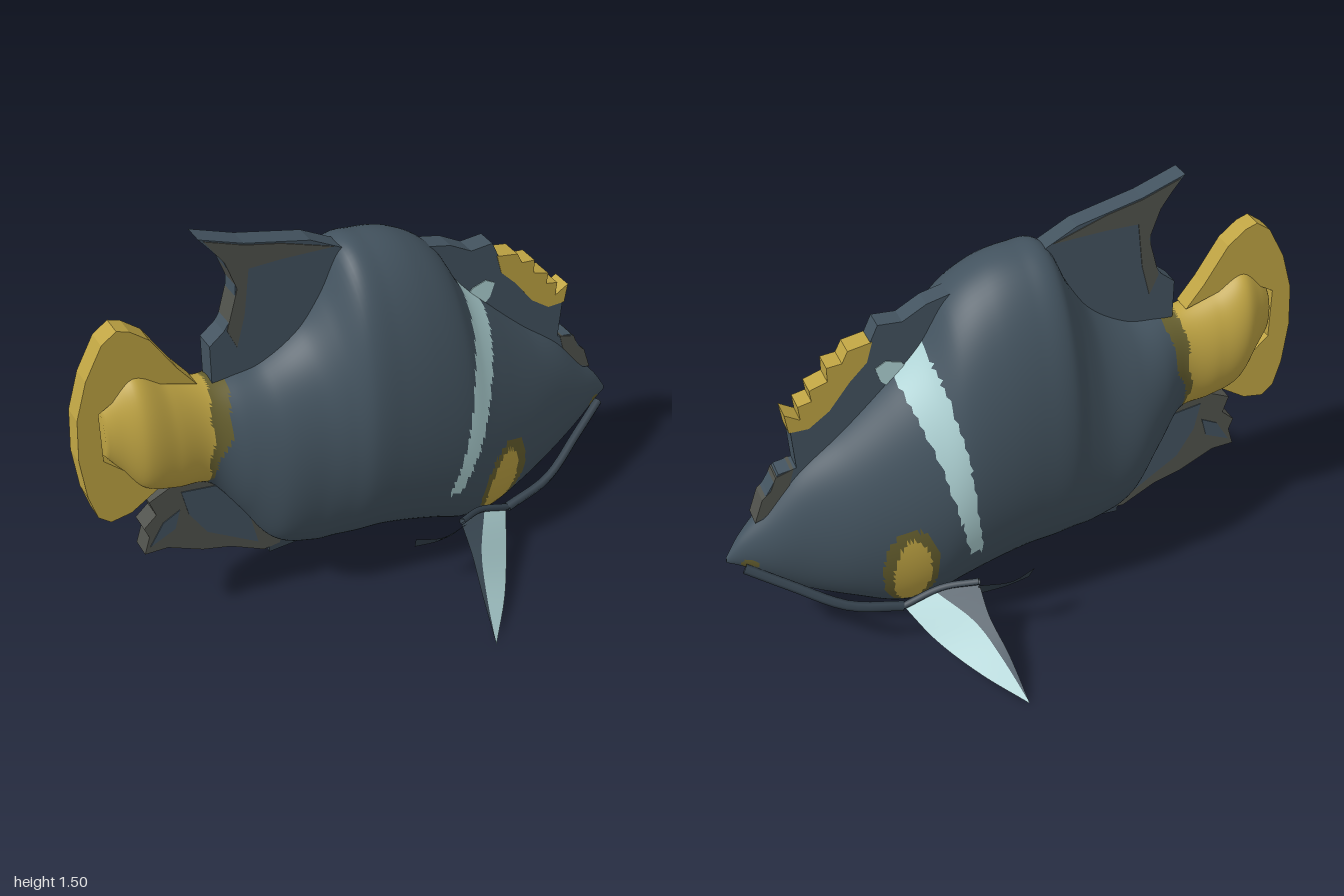
import * as THREE from 'three';

const paint = (name, color) => {
  const m = new THREE.MeshStandardMaterial({ color, side: THREE.DoubleSide });
  m.name = name;
  return m;
};
const slate = paint('slate', 0x43535f);
const darkSlate = paint('dark slate', 0x35424d);
const yellow = paint('yellow', 0xbfa443);
const pale = paint('pale blue', 0xafd3d5);
const olive = paint('olive', 0x67602f);
const grey = paint('grey olive', 0x50524c);

const FIN = 0.07; // thickness of the upright fins

// Body stations: x, top, bottom, half width
const stations = [
  [-0.912, 1.0, 0.82, 0.045], [-0.87, 1.05, 0.76, 0.075], [-0.8, 1.1, 0.66, 0.12],
  [-0.7, 1.04, 0.62, 0.12], [-0.58, 0.995, 0.59, 0.118], [-0.48, 0.995, 0.45, 0.175],
  [-0.38, 1.01, 0.29, 0.22], [-0.25, 1.09, 0.225, 0.24], [-0.17, 1.2, 0.215, 0.262],
  [-0.1, 1.335, 0.205, 0.288], [0, 1.345, 0.195, 0.295], [0.12, 1.315, 0.165, 0.297],
  [0.24, 1.23, 0.125, 0.29], [0.33, 1.085, 0.09, 0.272], [0.45, 0.96, 0.085, 0.24],
  [0.6, 0.82, 0.145, 0.19], [0.75, 0.7, 0.215, 0.125], [0.86, 0.575, 0.29, 0.08],
  [0.95, 0.475, 0.355, 0.035], [1, 0.4, 0.38, 0.005],
];

// Smooth value of one station column at x
function sample(x, k) {
  let i = 0;
  while (i < stations.length - 2 && x > stations[i + 1][0]) i++;
  const slope = (n) => {
    const a = stations[Math.max(n - 1, 0)], b = stations[Math.min(n + 1, stations.length - 1)];
    return (b[k] - a[k]) / (b[0] - a[0]);
  };
  const p = stations[i], q = stations[i + 1], d = q[0] - p[0];
  const t = (x - p[0]) / d, t2 = t * t, t3 = t2 * t;
  return (2 * t3 - 3 * t2 + 1) * p[k] + (t3 - 2 * t2 + t) * d * slope(i)
    + (3 * t2 - 2 * t3) * q[k] + (t3 - t2) * d * slope(i + 1);
}

function inside(x, y, poly) {
  let hit = false;
  poly.forEach(([ax, ay], i) => {
    const [bx, by] = poly[(i + 1) % poly.length];
    if ((ay > y) !== (by > y) && x < ((bx - ax) * (y - ay)) / (by - ay) + ax) hit = !hit;
  });
  return hit;
}

const stripe = [[0.33, 1.12], [0.43, 1.02], [0.4, 0.94], [0.35, 0.8], [0.3, 0.6], [0.245, 0.38],
  [0.2, 0.37], [0.235, 0.6], [0.26, 0.82], [0.3, 1.0]];
const oval = (x, y, cx, cy, rx, ry) => ((x - cx) / rx) ** 2 + ((y - cy) / ry) ** 2 < 1;

// Index of the body colour at a point seen from the side
const bodyColours = [slate, yellow, pale, olive];
function bodyColour(x, y) {
  const edge = -0.6 + 0.1 * Math.max(0, y - 0.72) + 0.006 * Math.sin(y * 40);
  if (x < edge) return 1;
  if (x < edge + 0.06 * Math.min(1, Math.max(0, (y - 0.62) * 4))) return 3;
  if (inside(x, y, stripe)) return 2;
  if (oval(x, y, 0.435, 0.32, 0.06, 0.165)) return 1;
  if (oval(x, y, 0.44, 0.34, 0.09, 0.19)) return 3;
  if (oval(x, y, 0.93, 0.38, 0.025, 0.025)) return 3;
  return 0;
}

// Body lofted from oval rings, its faces sorted by colour
function makeBody() {
  const N = 180, M = 96, pos = [], faces = bodyColours.map(() => []);
  for (let i = 0; i <= N + 1; i++) {
    const x = -0.912 + (1.912 * Math.max(i - 1, 0)) / N;
    const top = sample(x, 1), bottom = sample(x, 2);
    const s = i === 0 ? 0 : 1; // first ring closes the tail end
    for (let j = 0; j < M; j++) {
      const a = (j / M) * Math.PI * 2;
      pos.push(x, (top + bottom) / 2 + (s * (top - bottom) * Math.sin(a)) / 2, s * sample(x, 3) * Math.cos(a));
    }
  }
  for (let i = 0; i <= N; i++) {
    for (let j = 0; j < M; j++) {
      const k = (j + 1) % M, a = i * M + j, b = a + M, c = i * M + k, d = c + M;
      for (const tri of [[a, b, c], [b, d, c]]) {
        const x = tri.reduce((t, v) => t + pos[v * 3], 0) / 3;
        const y = tri.reduce((t, v) => t + pos[v * 3 + 1], 0) / 3;
        faces[bodyColour(x, y)].push(...tri);
      }
    }
  }
  const g = new THREE.BufferGeometry();
  g.setAttribute('position', new THREE.Float32BufferAttribute(pos, 3));
  g.setIndex(faces.flat());
  let start = 0;
  faces.forEach((f, i) => { g.addGroup(start, f.length, i); start += f.length; });
  g.computeVertexNormals();
  return new THREE.Mesh(g, bodyColours);
}

// Upright plate cut from a side outline
function plate(outline, material, depth = FIN) {
  const shape = new THREE.Shape(outline.map(([x, y]) => new THREE.Vector2(x, y)));
  const g = new THREE.ExtrudeGeometry(shape, { depth, bevelEnabled: false });
  g.translate(0, 0, -depth / 2);
  return new THREE.Mesh(g, material);
}

// Surface between two edge curves
function ribbon(edgeA, edgeB, material, n = 16) {
  const [A, B] = [edgeA, edgeB].map((e) => new THREE.CatmullRomCurve3(e.map((p) => new THREE.Vector3(...p))));
  const pos = [], idx = [];
  for (let i = 0; i <= n; i++) {
    pos.push(...A.getPoint(i / n).toArray(), ...B.getPoint(i / n).toArray());
    if (i < n) idx.push(2 * i, 2 * i + 2, 2 * i + 1, 2 * i + 1, 2 * i + 2, 2 * i + 3);
  }
  const g = new THREE.BufferGeometry();
  g.setAttribute('position', new THREE.Float32BufferAttribute(pos, 3));
  g.setIndex(idx);
  g.computeVertexNormals();
  return new THREE.Mesh(g, material);
}

function rod(points, radius, material) {
  const c = new THREE.CatmullRomCurve3(points.map((p) => new THREE.Vector3(...p)));
  return new THREE.Mesh(new THREE.TubeGeometry(c, 14, radius, 6), material);
}

export function createModel() {
  const model = new THREE.Group();
  const add = (name, mesh, parent = model) => { mesh.name = name; parent.add(mesh); };

  add('body', makeBody());

  // Crescent tail fin with a slot behind the body
  add('tailFin', plate([[-0.6, 1], [-0.66, 1.08], [-0.74, 1.21], [-0.8, 1.26], [-0.84, 1.275], [-0.89, 1.24],
    [-0.95, 1.13], [-0.99, 1], [-1, 0.85], [-0.985, 0.7], [-0.96, 0.61], [-0.92, 0.575], [-0.85, 0.585],
    [-0.73, 0.66], [-0.85, 0.75], [-0.922, 0.82], [-0.922, 1], [-0.8, 1.07]], yellow));

  // Rear dorsal fin and its margin
  add('rearDorsalFin', plate([[-0.08, 1.33], [-0.2, 1.395], [-0.3, 1.42], [-0.42, 1.45], [-0.565, 1.505],
    [-0.49, 1.41], [-0.455, 1.32], [-0.46, 1.22], [-0.5, 1.16], [-0.55, 1.12], [-0.55, 0.97], [-0.3, 1],
    [-0.1, 1.2]], slate));
  add('rearDorsalMargin', plate([[-0.12, 1.35], [-0.3, 1.415], [-0.42, 1.445], [-0.55, 1.495], [-0.485, 1.4],
    [-0.45, 1.3], [-0.49, 1.16], [-0.46, 1.09], [-0.43, 1.2], [-0.41, 1.36], [-0.3, 1.36]], grey, FIN + 0.006));

  // Front dorsal fin with jagged yellow crest
  add('frontDorsalFin', plate([[0.2, 1.25], [0.3, 1.225], [0.38, 1.18], [0.46, 1.185], [0.49, 1.12], [0.58, 1.03],
    [0.66, 0.94], [0.76, 0.87], [0.75, 0.72], [0.81, 0.71], [0.85, 0.645], [0.87, 0.62], [0.9, 0.54], [0.83, 0.56],
    [0.6, 0.77], [0.3, 1.05]], slate));
  add('dorsalCrest', plate([[0.48, 1.13], [0.56, 1.115], [0.58, 1.075], [0.63, 1.07], [0.63, 1.02], [0.69, 1.0],
    [0.685, 0.96], [0.73, 0.95], [0.725, 0.9], [0.775, 0.93], [0.765, 0.86], [0.7, 0.86], [0.63, 0.91],
    [0.56, 1.0], [0.5, 1.06]], yellow, FIN + 0.004));
  add('snoutCrest', plate([[0.76, 0.72], [0.82, 0.7], [0.84, 0.65], [0.87, 0.625], [0.9, 0.54], [0.84, 0.57],
    [0.78, 0.65]], grey, FIN + 0.004));
  add('dorsalSpot', plate([[0.36, 1.0], [0.39, 1.035], [0.44, 1.05], [0.475, 1.03], [0.46, 0.98], [0.42, 0.94]],
    pale, FIN + 0.006));

  // Anal fin, margin and blue patch
  add('analFin', plate([[-0.34, 0.24], [-0.4, 0.235], [-0.52, 0.3], [-0.62, 0.33], [-0.74, 0.39], [-0.82, 0.395],
    [-0.8, 0.46], [-0.815, 0.5], [-0.77, 0.54], [-0.79, 0.6], [-0.7, 0.64], [-0.5, 0.6], [-0.3, 0.4]], grey));
  add('analFinPatch', plate([[-0.42, 0.28], [-0.6, 0.4], [-0.66, 0.5], [-0.68, 0.6], [-0.56, 0.58], [-0.45, 0.42]],
    slate, FIN + 0.006));
  add('analFinSpot', plate([[-0.8, 0.42], [-0.71, 0.46], [-0.69, 0.53], [-0.75, 0.5]], slate, FIN + 0.006));

  // Low ragged keel under the belly
  add('bellyKeel', plate([[-0.38, 0.27], [-0.38, 0.215], [-0.25, 0.22], [-0.2, 0.2], [-0.12, 0.215], [-0.05, 0.19],
    [0.02, 0.2], [0.1, 0.165], [0.22, 0.14], [0.22, 0.2]], darkSlate));

  for (const s of [1, -1]) {
    const side = new THREE.Group();
    side.name = s > 0 ? 'leftSideFins' : 'rightSideFins';
    const m = (pts) => pts.map(([x, y, z]) => [x, y, z * s]);
    const middle = m([[0.36, 0.225, 0.22], [0.27, 0.17, 0.35], [0.22, 0.09, 0.47], [0.18, 0.003, 0.597]]);
    // Pectoral fin: pale front half, dark rear half
    add('pectoralFinFront', ribbon(m([[0.47, 0.18, 0.19], [0.4, 0.105, 0.31], [0.3, 0.05, 0.46], [0.18, 0, 0.6]]),
      middle, pale), side);
    add('pectoralFinRear', ribbon(middle,
      m([[0.23, 0.275, 0.27], [0.225, 0.19, 0.36], [0.2, 0.11, 0.47], [0.18, 0.006, 0.595]]), slate), side);
    // Jaw strip running from the snout to the pectoral fin
    add('jawStrip', rod(m([[0.95, 0.37, 0.04], [0.82, 0.305, 0.1], [0.65, 0.225, 0.175], [0.47, 0.185, 0.2]]),
      0.017, darkSlate), side);
    add('finRoot', rod(m([[0.47, 0.185, 0.2], [0.34, 0.24, 0.22], [0.23, 0.28, 0.28]]), 0.012, darkSlate), side);
    // Small flap behind the pectoral fin
    add('sideFlap', ribbon(m([[0.04, 0.29, 0.295], [0.13, 0.28, 0.32], [0.24, 0.28, 0.3]]),
      m([[0.05, 0.235, 0.27], [0.13, 0.22, 0.27], [0.22, 0.18, 0.23]]), darkSlate), side);
    model.add(side);
  }
  return model;
}
